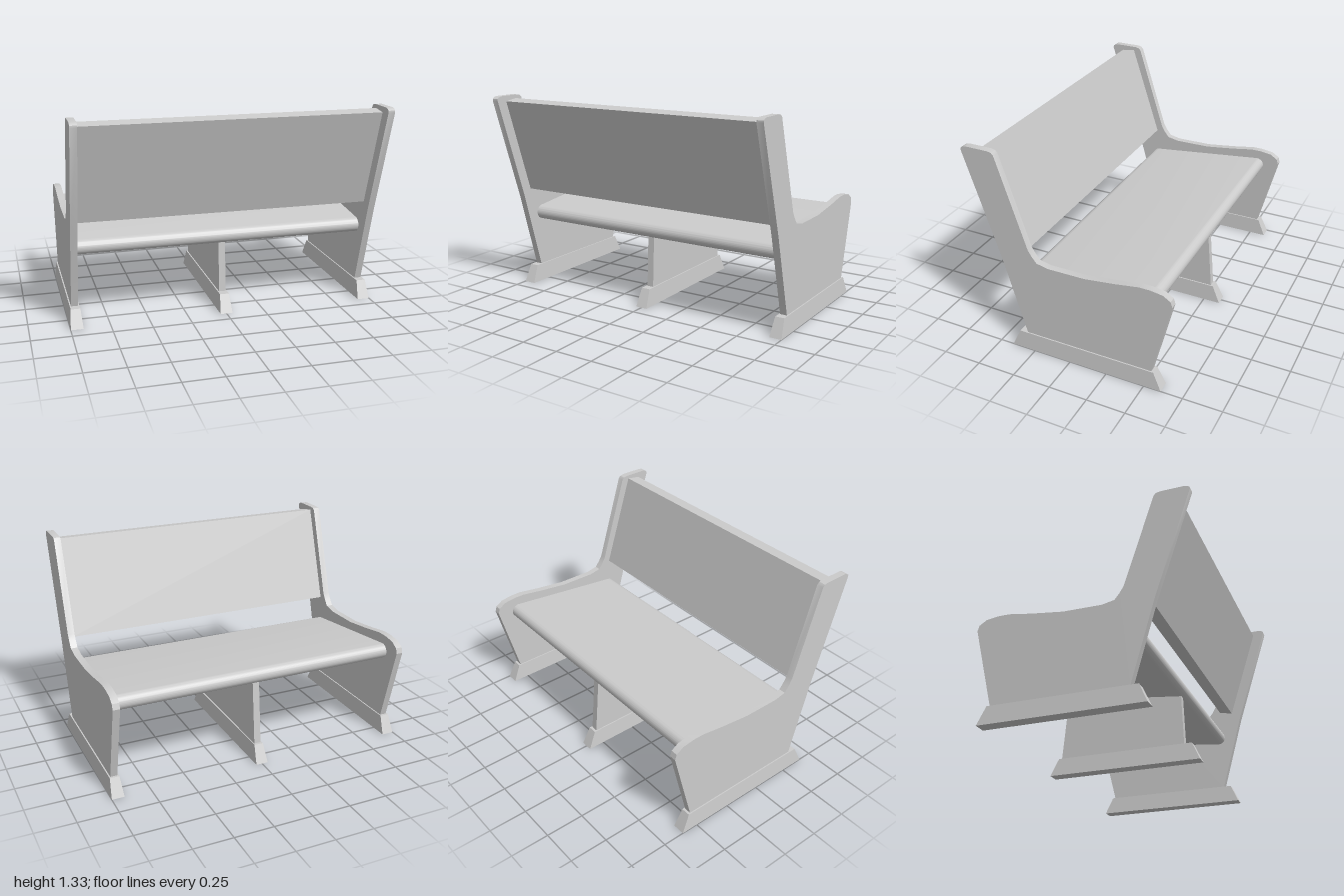
import * as THREE from 'three';
import { toCreasedNormals } from 'three/addons/utils/BufferGeometryUtils.js';

const material = new THREE.MeshStandardMaterial({ color: 0xcccccc });

function addMesh(parent, name, geometry, x = 0) {
  const mesh = new THREE.Mesh(geometry, material);
  mesh.name = name;
  mesh.position.x = x;
  parent.add(mesh);
}

// Extrude a (z, y) side profile across x, centred on x = 0
function slab(shape, width) {
  const g = new THREE.ExtrudeGeometry(shape, { depth: width, bevelEnabled: false, curveSegments: 16 });
  g.translate(0, 0, -width / 2);
  g.rotateY(-Math.PI / 2);
  return toCreasedNormals(g, 0.5);
}

const polygon = (points) => new THREE.Shape(points.map(([z, y]) => new THREE.Vector2(z, y)));

// Plinth that narrows towards the top in both directions
function footGeometry() {
  const height = 0.115;
  const g = new THREE.BoxGeometry(0.08, height, 1.02);
  const p = g.attributes.position;
  for (let i = 0; i < p.count; i++) {
    if (p.getY(i) > 0) p.setXYZ(i, p.getX(i) * 0.75, p.getY(i), p.getZ(i) * 0.896);
  }
  g.translate(0, height / 2, -0.1);
  const flat = g.toNonIndexed();
  flat.computeVertexNormals();
  return flat;
}

// Sloping seat board with rounded front and rear edges
function seatShape() {
  const r = 0.048;
  const rear = [0.28, 0.493], front = [-0.507, 0.582];
  const tilt = Math.atan2(front[1] - rear[1], rear[0] - front[0]);
  const s = new THREE.Shape();
  s.absarc(rear[0], rear[1], r, -Math.PI / 2 - tilt, Math.PI / 2 - tilt, false);
  s.absarc(front[0], front[1], r, Math.PI / 2 - tilt, Math.PI * 1.5 - tilt, false);
  s.closePath();
  return s;
}

export function createModel() {
  const bench = new THREE.Group();
  bench.name = 'bench';

  // End panels: upright back post flowing into a low armrest
  const endPanel = slab(polygon([
    [0.305, 0.11], [0.45, 0.63], [0.668, 1.305], [0.667, 1.318], [0.655, 1.328], [0.635, 1.333],
    [0.485, 1.333], [0.46, 1.328], [0.446, 1.313], [0.262, 0.735], [0.238, 0.695], [0.207, 0.656],
    [0.13, 0.64], [-0.11, 0.642], [-0.31, 0.667], [-0.46, 0.691], [-0.53, 0.691],
    [-0.608, 0.68], [-0.655, 0.65], [-0.666, 0.615], [-0.54, 0.11],
  ]), 0.044);
  const foot = footGeometry();
  for (const [side, x] of [['left', 0.96], ['right', -0.96]]) {
    addMesh(bench, side + 'EndPanel', endPanel, x);
    addMesh(bench, side + 'Foot', foot, x);
  }

  // Middle support under the seat
  addMesh(bench, 'middleSupport', slab(polygon([
    [0.305, 0.11], [0.29, 0.475], [-0.5, 0.565], [-0.54, 0.11],
  ]), 0.044));
  addMesh(bench, 'middleFoot', foot);

  // Seat and leaning backrest between the end panels
  addMesh(bench, 'seat', slab(seatShape(), 1.88));
  addMesh(bench, 'backrest', slab(polygon([
    [0.3, 0.695], [0.5, 1.31], [0.59, 1.297], [0.39, 0.677],
  ]), 1.88));

  return bench;
}
